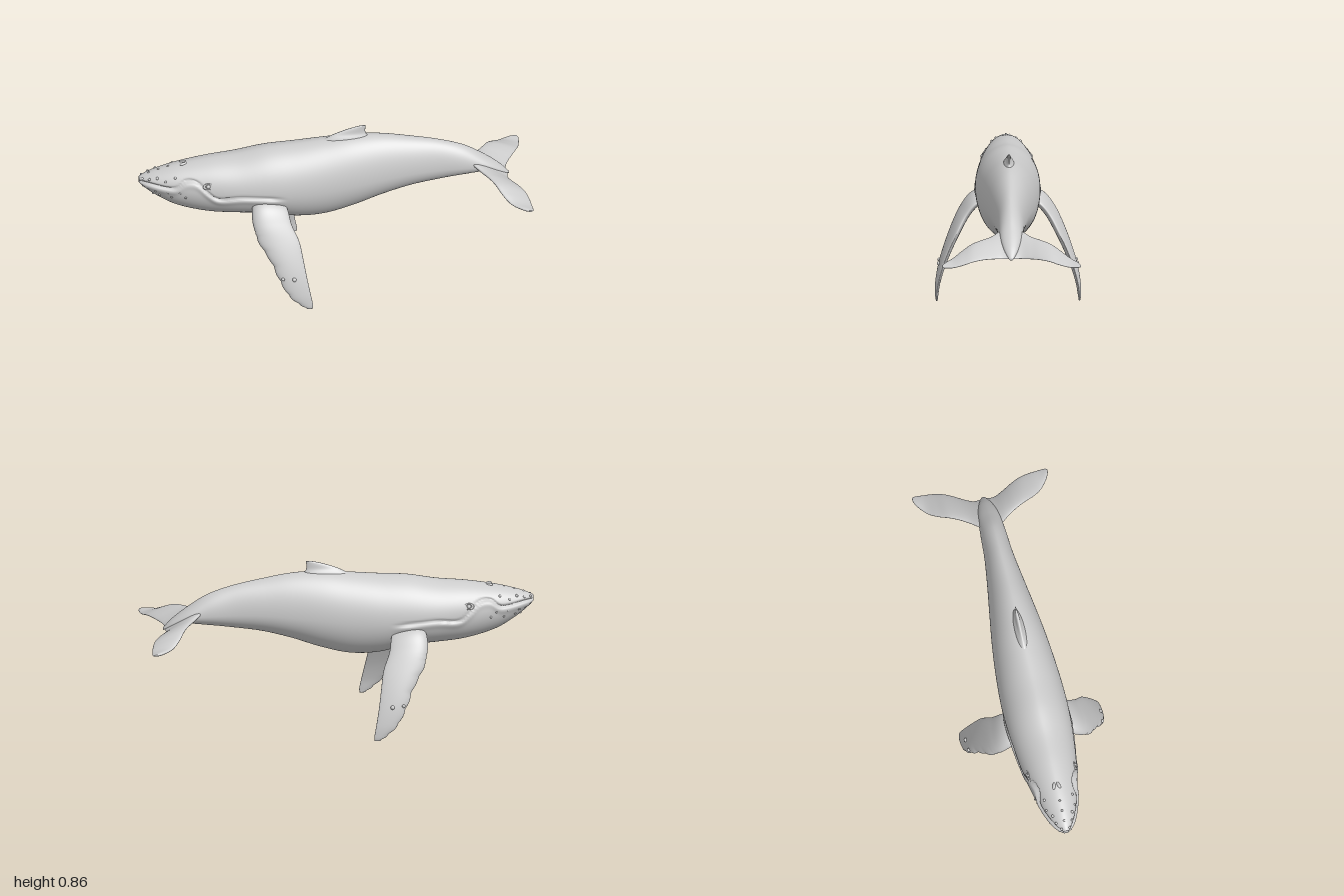
import * as THREE from 'three';

const material = new THREE.MeshStandardMaterial({ color: 0xcccccc, side: THREE.DoubleSide });

// Smooth (Catmull-Rom) value of a table of stations at t = 0..1
function sample(rows, t) {
  const f = t * (rows.length - 1);
  const i = Math.min(Math.floor(f), rows.length - 2), u = f - i;
  const at = (k) => rows[THREE.MathUtils.clamp(k, 0, rows.length - 1)];
  return rows[0].map((_, c) => {
    const a = at(i - 1)[c], b = at(i)[c], d = at(i + 1)[c], e = at(i + 2)[c];
    const m0 = (d - a) / 2, m1 = (e - b) / 2;
    return b + u * (m0 + u * (3 * (d - b) - 2 * m0 - m1 + u * (2 * (b - d) + m0 + m1)));
  });
}

// Station whose first column equals x
function sampleAt(rows, x) {
  let lo = 0, hi = 1;
  for (let k = 0; k < 24; k++) {
    const m = (lo + hi) / 2;
    if (sample(rows, m)[0] < x) lo = m; else hi = m;
  }
  return sample(rows, lo);
}

// Closed skin over rings; point(t, angle) returns [x, y, z]
function loft(point, rings, sides) {
  const pos = [], idx = [];
  for (let i = 0; i <= rings; i++)
    for (let j = 0; j < sides; j++) pos.push(...point(i / rings, (j / sides) * Math.PI * 2));
  for (const i of [0, rings]) {
    const c = [0, 0, 0];
    for (let j = 0; j < sides; j++) for (let k = 0; k < 3; k++) c[k] += pos[(i * sides + j) * 3 + k] / sides;
    pos.push(...c);
  }
  const end = (rings + 1) * sides;
  for (let j = 0; j < sides; j++) {
    const n = (j + 1) % sides, last = rings * sides;
    for (let i = 0; i < rings; i++) {
      const a = i * sides + j, b = i * sides + n;
      idx.push(a, b, a + sides, b, b + sides, a + sides);
    }
    idx.push(end, n, j, end + 1, last + j, last + n);
  }
  // Turn the faces outward if the enclosed volume comes out negative
  let volume = 0;
  const v = (k) => new THREE.Vector3(pos[k * 3], pos[k * 3 + 1], pos[k * 3 + 2]);
  for (let k = 0; k < idx.length; k += 3) volume += v(idx[k]).dot(v(idx[k + 1]).cross(v(idx[k + 2])));
  if (volume < 0) idx.reverse();
  const g = new THREE.BufferGeometry();
  g.setAttribute('position', new THREE.Float32BufferAttribute(pos, 3));
  g.setIndex(idx);
  g.computeVertexNormals();
  return g;
}

// Body stations: x, top, bottom, half width, height of greatest width
const BODY = [
  [-1, 0.642, 0.608, 0.016, 0.625], [-0.96, 0.66, 0.57, 0.048, 0.617], [-0.9, 0.68, 0.524, 0.076, 0.607],
  [-0.8, 0.705, 0.467, 0.106, 0.595], [-0.65, 0.73, 0.425, 0.136, 0.58], [-0.5, 0.746, 0.41, 0.156, 0.57],
  [-0.35, 0.773, 0.4, 0.167, 0.565], [-0.2, 0.784, 0.366, 0.166, 0.565], [-0.05, 0.798, 0.366, 0.156, 0.57],
  [0.1, 0.81, 0.404, 0.14, 0.585], [0.25, 0.805, 0.458, 0.118, 0.6], [0.4, 0.781, 0.5, 0.095, 0.61],
  [0.55, 0.75, 0.525, 0.075, 0.61], [0.68, 0.706, 0.543, 0.066, 0.605], [0.78, 0.643, 0.553, 0.056, 0.594],
  [0.86, 0.583, 0.535, 0.035, 0.56], [0.91, 0.533, 0.522, 0.01, 0.527],
];
// Mouth line: x, y
const MOUTH = [[-1.01, 0.622], [-0.95, 0.626], [-0.83, 0.616], [-0.77, 0.654], [-0.71, 0.65],
  [-0.66, 0.602], [-0.6, 0.562], [-0.47, 0.57], [-0.26, 0.553]];

const width = (w, c) => w * Math.sign(c) * Math.abs(c) ** 1.12;
function sideZ(x, y) {
  const [, top, bot, w, mid] = sampleAt(BODY, x);
  const s = (y - mid) / (y > mid ? top - mid : mid - bot);
  return width(w, Math.sqrt(Math.max(0, 1 - s * s)));
}

// Body with the mouth crease pressed in and the lower lip slightly proud
function bodyPoint(t, a) {
  const [x, top, bot, w, mid] = sample(BODY, t);
  const s = Math.sin(a);
  const y = mid + s * (s > 0 ? top - mid : mid - bot);
  let z = width(w, Math.cos(a));
  if (x < -0.24) {
    const d = y - sampleAt(MOUTH, x)[1];
    const fade = THREE.MathUtils.smoothstep(-x, 0.24, 0.34) * Math.min(1, Math.abs(z) / 0.03);
    const lip = 0.006 * Math.exp(-(((d + 0.02) / 0.018) ** 2));
    z += Math.sign(z) * fade * (lip - 0.012 * Math.exp(-((d / 0.007) ** 2)));
  }
  return [x, y, z];
}

// Flipper stations: leading x, trailing x, y, z, thickness
const FLIPPER = [
  [-0.42, -0.27, 0.515, 0.1, 0.07], [-0.435, -0.25, 0.49, 0.165, 0.07], [-0.432, -0.235, 0.43, 0.217, 0.062],
  [-0.4, -0.2, 0.35, 0.262, 0.055], [-0.345, -0.183, 0.26, 0.304, 0.046], [-0.306, -0.168, 0.17, 0.338, 0.036],
  [-0.258, -0.152, 0.085, 0.36, 0.025], [-0.2, -0.142, 0.03, 0.366, 0.016], [-0.165, -0.143, 0.006, 0.366, 0.008],
];
function flipperPoint(t, a) {
  const [lead, trail, y, z, thick] = sample(FLIPPER, t);
  const p = sample(FLIPPER, Math.max(0, t - 0.01)), q = sample(FLIPPER, Math.min(1, t + 0.01));
  const dy = q[2] - p[2], dz = q[3] - p[3], len = Math.hypot(dy, dz);
  const c = Math.cos(a);
  // Scalloped leading edge
  const bump = c < 0 && t > 0.3 ? 0.007 * c * c * Math.abs(Math.sin(t * 30)) : 0;
  const h = Math.sin(a) * (thick / 2) * (1 - 0.35 * c);
  return [(lead + trail) / 2 + (c * (trail - lead)) / 2 - bump, Math.max(0, y - (h * dz) / len), z + (h * dy) / len];
}

// Half fluke stations: z, leading x, trailing x, leading y, trailing y, thickness
const FLUKE = [
  [0, 0.7, 0.905, 0.63, 0.528, 0.03], [0.05, 0.715, 0.9, 0.622, 0.528, 0.034], [0.1, 0.758, 0.92, 0.602, 0.532, 0.034],
  [0.15, 0.792, 0.948, 0.594, 0.535, 0.03], [0.2, 0.82, 0.973, 0.582, 0.531, 0.027], [0.25, 0.848, 0.989, 0.555, 0.518, 0.024],
  [0.3, 0.888, 0.997, 0.526, 0.508, 0.02], [0.34, 0.94, 1, 0.516, 0.508, 0.016], [0.356, 0.975, 0.994, 0.512, 0.511, 0.008],
];
function flukePoint(t, a) {
  const [z, lead, trail, yl, yt, thick] = sample(FLUKE, Math.abs(2 * t - 1));
  const u = (1 + Math.cos(a)) / 2;
  return [lead + u * (trail - lead), yl + u * (yt - yl) + Math.sin(a) * (thick / 2) * (1.3 - 0.6 * u), t < 0.5 ? -z : z];
}

// Dorsal fin stations: y, front x, back x, half thickness
const FIN = [[0.77, -0.09, 0.23, 0.04], [0.805, -0.03, 0.185, 0.026], [0.826, 0.01, 0.171, 0.014],
  [0.848, 0.07, 0.17, 0.009], [0.862, 0.12, 0.172, 0.006], [0.868, 0.15, 0.172, 0.003]];
function finPoint(t, a) {
  const [y, x0, x1, h] = sample(FIN, t);
  return [(x0 + x1) / 2 + (Math.cos(a) * (x1 - x0)) / 2, y, Math.sin(a) * h];
}

export function createModel() {
  const model = new THREE.Group();
  model.name = 'whale';
  const add = (name, geometry) => {
    const mesh = new THREE.Mesh(geometry, material);
    mesh.name = name;
    model.add(mesh);
    return mesh;
  };
  const knob = (name, x, y, z, r) => add(name, new THREE.SphereGeometry(r, 10, 8)).position.set(x, y, z);

  add('body', loft(bodyPoint, 200, 128));
  add('dorsalFin', loft(finPoint, 24, 32));
  add('tailFlukes', loft(flukePoint, 96, 40));

  // Knobs along the jaws: x, y, radius
  const jawKnobs = [[-0.985, 0.64, 0.007], [-0.98, 0.605, 0.007], [-0.95, 0.645, 0.007], [-0.955, 0.59, 0.006],
    [-0.91, 0.655, 0.008], [-0.92, 0.588, 0.007], [-0.9, 0.565, 0.006], [-0.87, 0.645, 0.006], [-0.86, 0.59, 0.007],
    [-0.84, 0.56, 0.006], [-0.82, 0.665, 0.007], [-0.8, 0.59, 0.006], [-0.77, 0.565, 0.006], [-0.93, 0.56, 0.006]];
  const flipperKnobs = [[-0.295, 0.185, 0.352, 0.009], [-0.237, 0.18, 0.354, 0.011], [-0.32, 0.305, 0.304, 0.007]];

  for (const side of [1, -1]) {
    const label = side > 0 ? 'left' : 'right';
    add(label + 'Flipper', loft((t, a) => {
      const [x, y, z] = flipperPoint(t, a);
      return [x, y, z * side];
    }, 96, 40));
    for (const [x, y, r] of jawKnobs) knob('jawKnob', x, y, side * sideZ(x, y), r);
    for (const [x, y, z, r] of flipperKnobs) knob('flipperKnob', x, y, side * z, r);

    // Eye with a raised lid
    const eyeZ = side * (sideZ(-0.655, 0.632) - 0.002);
    knob('eye', -0.655, 0.632, eyeZ, 0.011);
    const lid = add('eyelid', new THREE.TorusGeometry(0.015, 0.005, 8, 24));
    lid.position.set(-0.655, 0.632, eyeZ);
    lid.scale.set(1.4, 0.9, 1);
    lid.rotation.x = -side * 0.3;

    // Blowhole ridge
    const ridge = add('blowholeRidge', new THREE.SphereGeometry(0.012, 16, 10));
    ridge.position.set(-0.77, 0.708, side * 0.012);
    ridge.scale.set(1.7, 0.7, 0.7);
    ridge.rotation.y = side * 0.3;
  }
  // Knobs along the top of the snout
  for (const x of [-0.95, -0.9, -0.85]) knob('snoutKnob', x, sampleAt(BODY, x)[1] - 0.001, 0, 0.006);
  return model;
}
